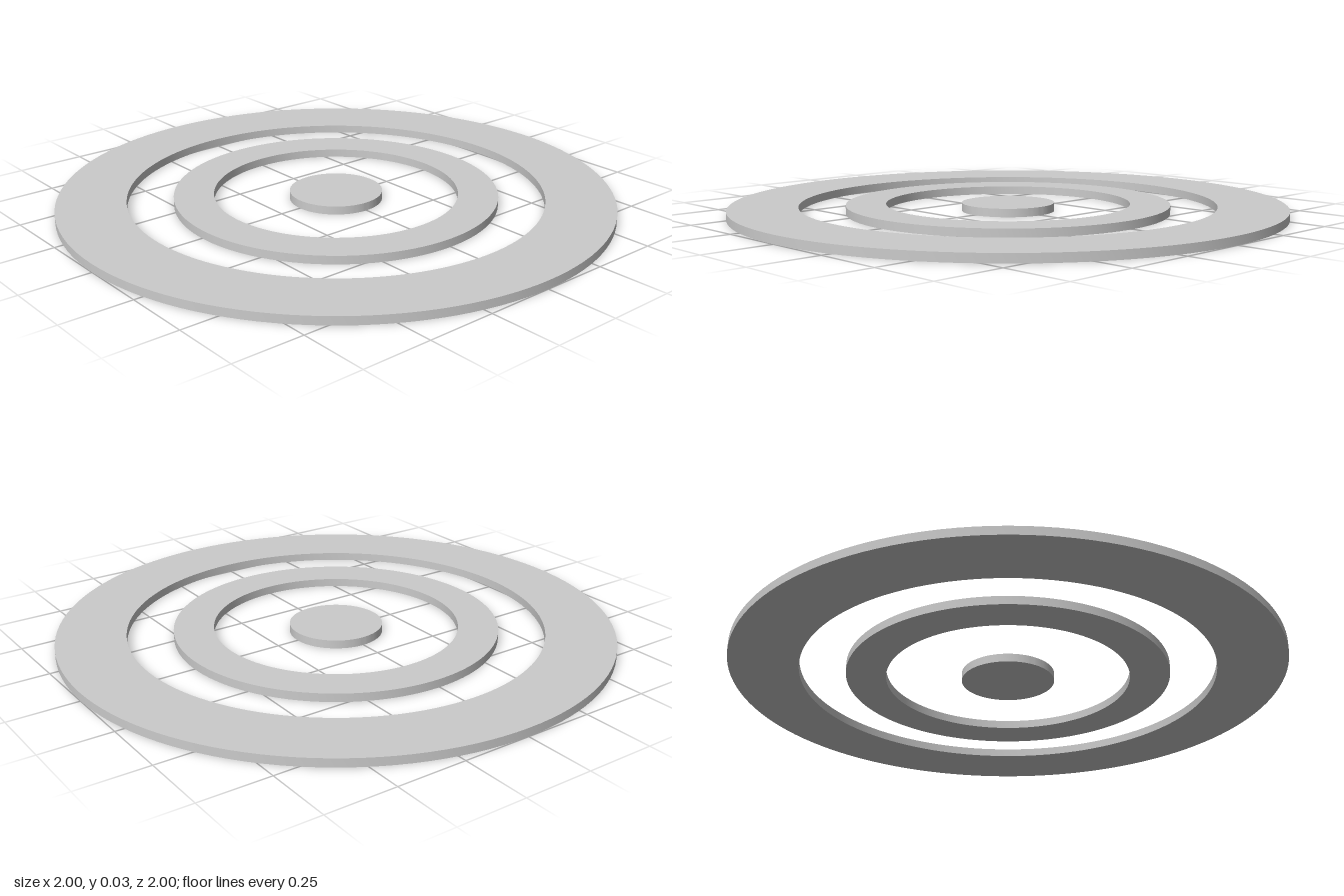
import * as THREE from 'three';
import { toCreasedNormals } from 'three/addons/utils/BufferGeometryUtils.js';

const HEIGHT = 0.03;

// Flat disc lying on y = 0, with an optional round hole
function flatRing(name, outer, inner, material) {
  const shape = new THREE.Shape().absarc(0, 0, outer, 0, Math.PI * 2, false);
  if (inner > 0) {
    shape.holes.push(new THREE.Path().absarc(0, 0, inner, 0, Math.PI * 2, true));
  }
  const extruded = new THREE.ExtrudeGeometry(shape, {
    depth: HEIGHT,
    bevelEnabled: false,
    curveSegments: 64,
  });
  extruded.rotateX(-Math.PI / 2);
  const mesh = new THREE.Mesh(toCreasedNormals(extruded, Math.PI / 6), material);
  mesh.name = name;
  return mesh;
}

export function createModel() {
  const group = new THREE.Group();
  group.name = 'concentricRings';
  const material = new THREE.MeshStandardMaterial({ color: 0xcccccc });

  // Outer band, middle band and solid centre
  group.add(
    flatRing('outerRing', 1, 0.752, material),
    flatRing('middleRing', 0.586, 0.442, material),
    flatRing('centreDisc', 0.168, 0, material),
  );
  return group;
}
